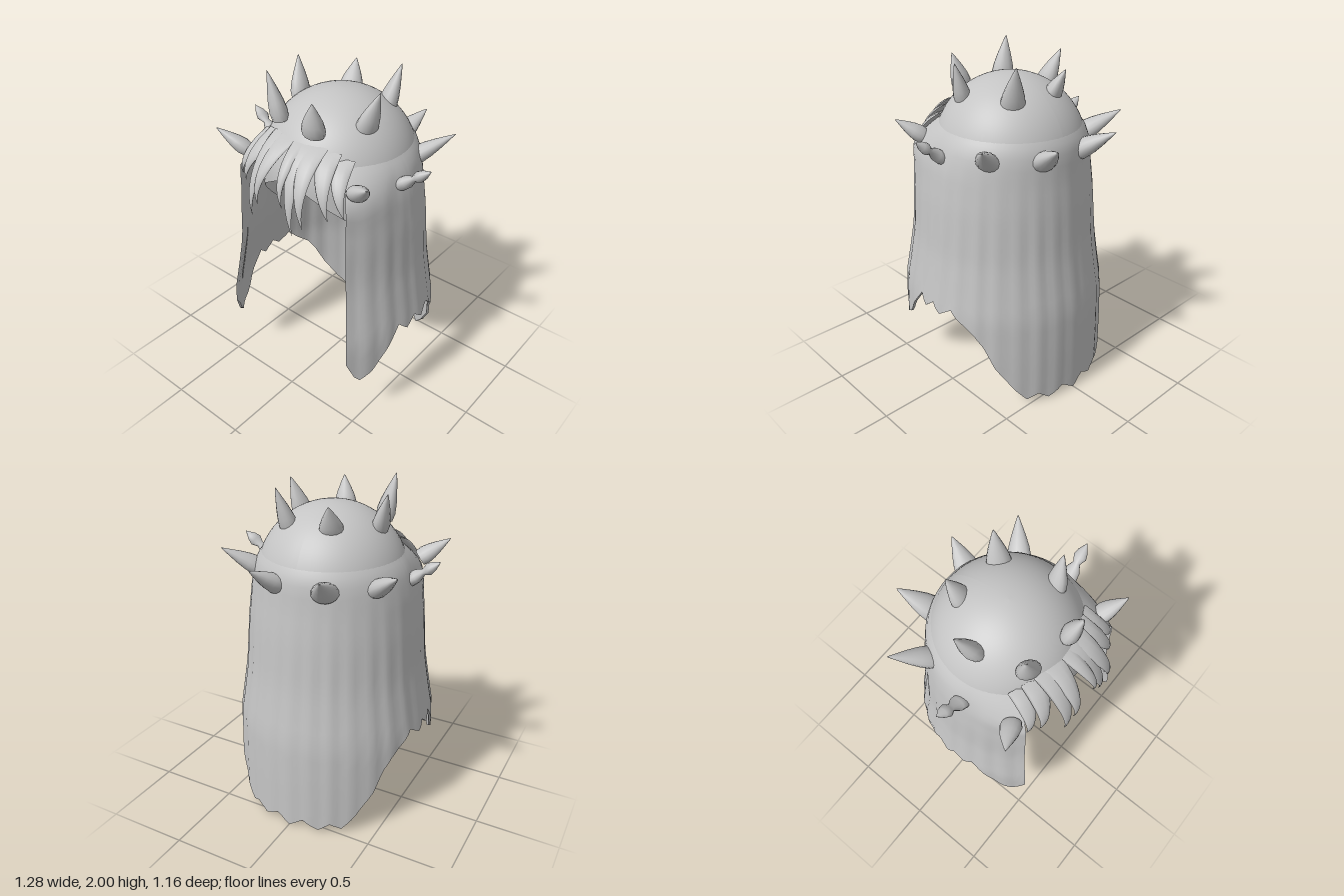
import * as THREE from 'three';
import { toCreasedNormals } from 'three/addons/utils/BufferGeometryUtils.js';

const { lerp, clamp, degToRad } = THREE.MathUtils;
const CENTRE_Y = 1.43, R = 0.447;

// Piecewise linear lookup in [key, value] pairs with rising keys
function table(points, k) {
  if (k <= points[0][0]) return points[0][1];
  for (let i = 1; i < points.length; i++) {
    const [k0, v0] = points[i - 1], [k1, v1] = points[i];
    if (k <= k1) return lerp(v0, v1, (k - k0) / (k1 - k0));
  }
  return points[points.length - 1][1];
}

// Surface from a grid of points, fn(column, row) -> Vector3
function grid(cols, rows, fn) {
  const pos = [], idx = [];
  for (let i = 0; i <= cols; i++)
    for (let j = 0; j <= rows; j++) pos.push(...fn(i, j).toArray());
  for (let i = 0; i < cols; i++)
    for (let j = 0; j < rows; j++) {
      const a = i * (rows + 1) + j, b = a + rows + 1;
      idx.push(a, a + 1, b, b, a + 1, b + 1);
    }
  const geo = new THREE.BufferGeometry();
  geo.setAttribute('position', new THREE.Float32BufferAttribute(pos, 3));
  geo.setIndex(idx);
  geo.computeVertexNormals();
  return geo;
}

// Point around the head: angle in degrees from the front
const around = (deg, r, y) =>
  new THREE.Vector3(Math.sin(degToRad(deg)) * r, y, Math.cos(degToRad(deg)) * r);

// Round cap, cut away over the face
const CAP_EDGE = [[0, 1.5], [14, 1.44], [27, 1.38], [45, 1.29], [58, 1.2], [75, 1.07], [180, 1.04]];
function capGeometry() {
  return grid(72, 30, (i, j) => {
    const deg = i * 5 - 180, edge = table(CAP_EDGE, Math.abs(deg));
    const end = edge > CENTRE_Y ? Math.acos((edge - CENTRE_Y) / R)
      : Math.PI / 2 + (CENTRE_Y - edge) / R;
    const s = end * j / 30;
    return s < Math.PI / 2
      ? around(deg, R * Math.sin(s), CENTRE_Y + R * Math.cos(s))
      : around(deg, R, CENTRE_Y - R * (s - Math.PI / 2));
  });
}

// Long hair: hem height by angle, then radius and front corner depth by height
const HEM = [[42, 0.45], [46, 0.34], [49, 0.305], [57, 0.36], [62, 0.43], [69, 0.53], [74, 0.6],
  [80, 0.545], [87, 0.6], [93, 0.55], [101, 0.6], [107, 0.54], [116, 0.47], [121, 0.4],
  [128, 0.26], [138, 0.12], [147, 0.02], [154, 0.055], [161, 0.003], [171, 0.055], [180, 0]];
const RADIUS = [[0, 0.615], [0.3, 0.612], [0.57, 0.603], [0.7, 0.58], [0.9, 0.548],
  [1.2, 0.523], [1.4, 0.497], [1.5, 0.47], [1.56, 0.445], [1.61, 0.405]];
const CORNER = [[0.45, 0.07], [1, 0.058], [1.3, 0.07], [1.45, 0.09], [1.61, 0]];
function hairRadius(deg, y) {
  const back = 1 - 0.08 * Math.max(0, -Math.cos(degToRad(deg)));
  const corner = table(CORNER, y) * Math.pow(clamp((78 - deg) / 36, 0, 1), 1.2);
  const fold = 0.0035 * Math.sin(deg * 0.5) * clamp((1.5 - y) * 2, 0, 1);
  return table(RADIUS, y) * lerp(back, 1, clamp((y - 1.4) / 0.2, 0, 1)) + corner + fold;
}
function longHairGeometry() {
  const half = [];
  for (let i = 0; i < HEM.length - 1; i++)
    for (let k = 0; k < 3; k++) half.push(lerp(HEM[i][0], HEM[i + 1][0], k / 3));
  // Runs from one front edge round the back to the other
  const angles = [...half, 180, ...half.map((a) => 360 - a).reverse()];
  const rows = 20, last = angles.length - 1;
  const geo = grid(last, rows * 2 + 1, (i, j) => {
    const a = angles[i], m = a > 180 ? 360 - a : a;
    const inner = j > rows, t = (inner ? rows * 2 + 1 - j : j) / rows;
    const y = lerp(1.61, table(HEM, m), Math.pow(t, 1.2));
    const thick = inner && i > 0 && i < last ? 0.014 : 0;
    return around(a, hairRadius(m, y) - thick, y);
  });
  return toCreasedNormals(geo, 0.7);
}

// Flat tapered lock that leaves the cap smoothly and arches forward
function lockGeometry([x, y, tipX, tipY, tipZ, width]) {
  const z = Math.sqrt(R * R - x * x - (y - CENTRE_Y) ** 2) - 0.012;
  const curve = new THREE.CubicBezierCurve3(new THREE.Vector3(x, y, z),
    new THREE.Vector3(lerp(x, tipX, 0.25), y - 0.06, lerp(z, tipZ, 0.6)),
    new THREE.Vector3(lerp(x, tipX, 0.75), lerp(y, tipY, 0.5), tipZ + 0.045),
    new THREE.Vector3(tipX, tipY, tipZ));
  const rows = 14, sides = 10;
  return grid(sides, rows, (i, j) => {
    const t = j / rows, ang = -i / sides * Math.PI * 2;
    const p = curve.getPoint(t), d = curve.getTangent(t);
    const side = new THREE.Vector3(1, 0, -1.6 * x).normalize();
    side.addScaledVector(d, -side.dot(d)).normalize();
    const out = new THREE.Vector3().crossVectors(side, d).normalize();
    const w = width * (1 - Math.pow(t, 1.5));
    const h = 0.02 * (1 - t * t) * Math.min(1, 0.2 + 3 * t);
    return p.addScaledVector(side, Math.cos(ang) * w).addScaledVector(out, Math.sin(ang) * h);
  });
}
const LOCKS = [
  [-0.13, 1.69, -0.19, 1.24, 0.545, 0.065], [-0.07, 1.69, -0.13, 1.34, 0.555, 0.06],
  [-0.2, 1.67, -0.31, 1.38, 0.46, 0.065], [-0.27, 1.64, -0.375, 1.39, 0.42, 0.06],
  [0.06, 1.69, 0.12, 1.24, 0.555, 0.065], [0.12, 1.69, 0.19, 1.31, 0.55, 0.065],
  [0.19, 1.67, 0.3, 1.36, 0.47, 0.065], [0.26, 1.64, 0.37, 1.38, 0.42, 0.06],
  [0.02, 1.69, 0.05, 1.38, 0.55, 0.045],
];

// Spike profiles as [radius, length fraction]
const HORN = [[0.9, -0.2], [1, 0], [0.86, 0.25], [0.62, 0.5], [0.33, 0.75], [0.1, 0.94], [0, 1]];
const TWIST = [[0.6, -0.2], [1, 0], [0.95, 0.2], [0.45, 0.42], [0.85, 0.6], [0.65, 0.76], [0, 1]];
function spikeMesh(profile, base, tip, radius, material) {
  const from = new THREE.Vector3(...base), dir = new THREE.Vector3(...tip).sub(from);
  const length = dir.length();
  const pts = profile.map(([r, t]) => new THREE.Vector2(r * radius, t * length));
  const mesh = new THREE.Mesh(new THREE.LatheGeometry(pts, 14), material);
  // Widest along the cap surface, thinner outwards from it
  dir.normalize();
  const outward = new THREE.Vector3(base[0], 0, base[2]);
  const wide = new THREE.Vector3().crossVectors(dir, outward).normalize();
  const thin = new THREE.Vector3().crossVectors(wide, dir);
  mesh.quaternion.setFromRotationMatrix(new THREE.Matrix4().makeBasis(wide, dir, thin));
  mesh.scale.z = 0.75;
  mesh.position.copy(from);
  return mesh;
}
// [base, tip, radius]
const SPIKES = [
  [[-0.2, 1.775, 0.285], [-0.25, 2, 0.305], 0.068],
  [[0.09, 1.775, 0.33], [0.12, 1.94, 0.37], 0.068],
  [[-0.295, 1.775, 0.005], [-0.355, 1.96, -0.05], 0.066],
  [[0.265, 1.765, 0.105], [0.33, 1.96, 0.085], 0.066],
  [[-0.11, 1.775, -0.225], [-0.13, 1.92, -0.3], 0.07],
  [[0.17, 1.755, -0.2], [0.21, 1.98, -0.27], 0.072],
  [[-0.17, 1.49, -0.41], [-0.235, 1.61, -0.59], 0.078],
  [[0.14, 1.49, -0.41], [0.2, 1.6, -0.57], 0.075],
  [[-0.4, 1.5, -0.23], [-0.56, 1.62, -0.36], 0.07],
  [[0.38, 1.5, -0.23], [0.53, 1.62, -0.36], 0.07],
  [[-0.43, 1.52, 0.36], [-0.56, 1.62, 0.43], 0.062],
  [[0.4, 1.52, 0.35], [0.51, 1.61, 0.42], 0.062],
];

export function createModel() {
  const model = new THREE.Group();
  model.name = 'spikedHair';
  const grey = new THREE.MeshStandardMaterial({ color: 0xc4c4c4, side: THREE.DoubleSide });
  grey.name = 'hairGrey';
  const add = (mesh, name, parent = model) => {
    mesh.name = name;
    parent.add(mesh);
    return mesh;
  };
  add(new THREE.Mesh(capGeometry(), grey), 'cap');
  add(new THREE.Mesh(longHairGeometry(), grey), 'longHair');

  const fringe = add(new THREE.Group(), 'fringe');
  for (const lock of LOCKS) add(new THREE.Mesh(lockGeometry(lock), grey), 'fringeLock', fringe);

  const spikes = add(new THREE.Group(), 'spikes');
  for (const [base, tip, r] of SPIKES) add(spikeMesh(HORN, base, tip, r, grey), 'spike', spikes);
  // Pinched tufts over the ears
  for (const s of [-1, 1])
    add(spikeMesh(TWIST, [s * 0.47, 1.47, 0.06], [s * 0.64, 1.6, 0.045], 0.05, grey), 'earTuft', spikes);
  return model;
}
